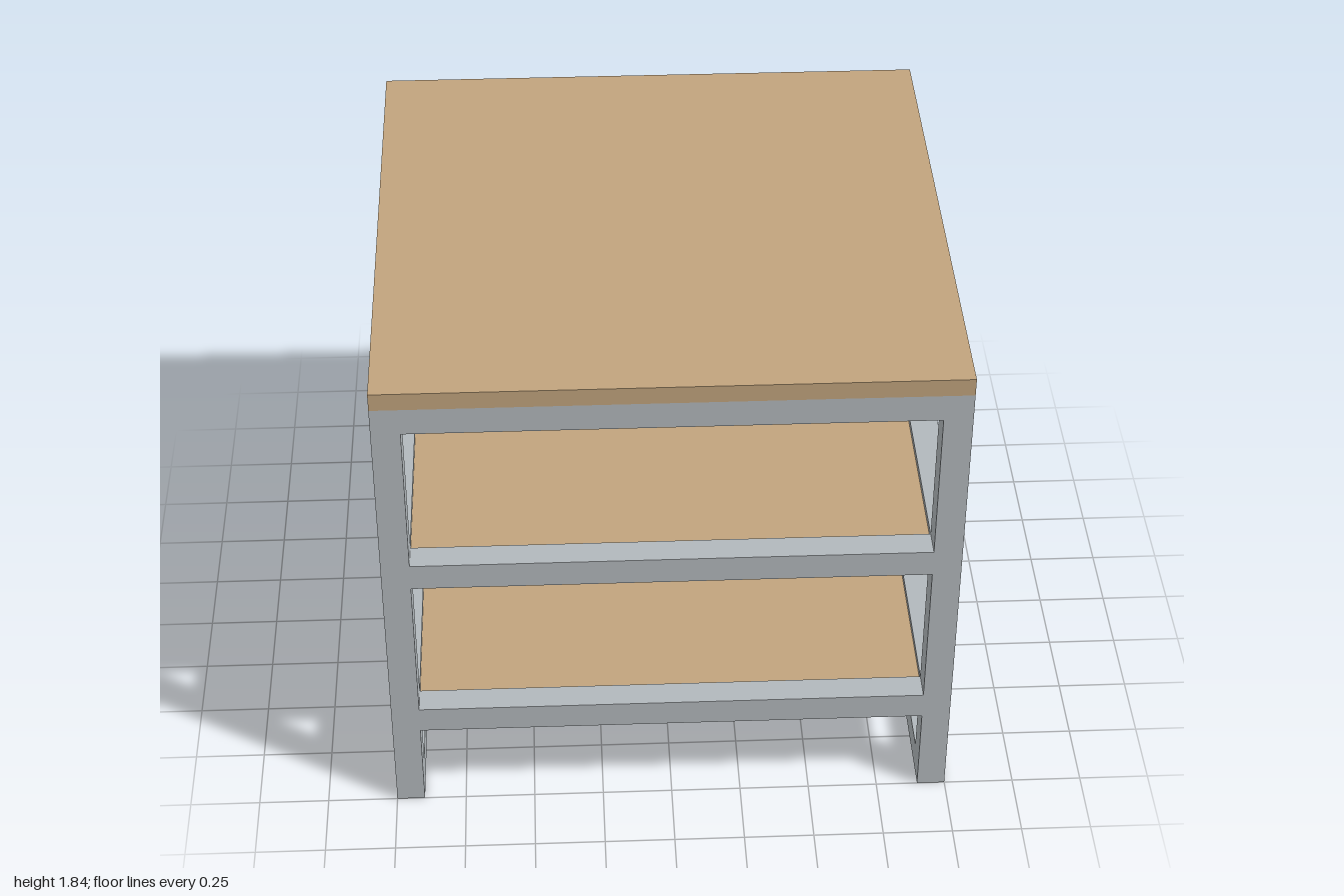
import * as THREE from 'three';

export function createModel() {
  const model = new THREE.Group();
  const metal = new THREE.MeshStandardMaterial({ color: 0xb2b8bc });
  metal.name = 'grey metal';
  const wood = new THREE.MeshStandardMaterial({ color: 0xc1a47d });
  wood.name = 'light wood';

  const T = 0.1;             // bar thickness
  const C = 1 - T / 2;       // bar centre line
  const INNER = 2 - 2 * T;   // clear span between posts
  const FRAME_TOP = 1.77;

  const box = (name, material, size, position) => {
    const mesh = new THREE.Mesh(new THREE.BoxGeometry(...size), material);
    mesh.name = name;
    mesh.position.set(...position);
    model.add(mesh);
  };

  // Corner posts
  for (const x of [-C, C]) {
    for (const z of [-C, C]) {
      box('cornerPost', metal, [T, FRAME_TOP, T], [x, FRAME_TOP / 2, z]);
    }
  }

  // Rails on all four sides at each level
  const shelfLevels = [0.385, 1.05];
  for (const y of [...shelfLevels, FRAME_TOP - T / 2]) {
    for (const s of [-C, C]) {
      box('crossRail', metal, [INNER, T, T], [0, y, s]);
      box('sideRail', metal, [T, T, INNER], [s, y, 0]);
    }
  }

  // Floor rails on the left and right sides only
  for (const s of [-C, C]) box('floorRail', metal, [T, T, INNER], [s, T / 2, 0]);

  // Shelf panels set inside their rails
  for (const y of shelfLevels) box('shelf', wood, [INNER, 0.05, INNER], [0, y, 0]);

  // Table top
  box('tableTop', wood, [2, 0.065, 2], [0, FRAME_TOP + 0.0325, 0]);

  return model;
}
